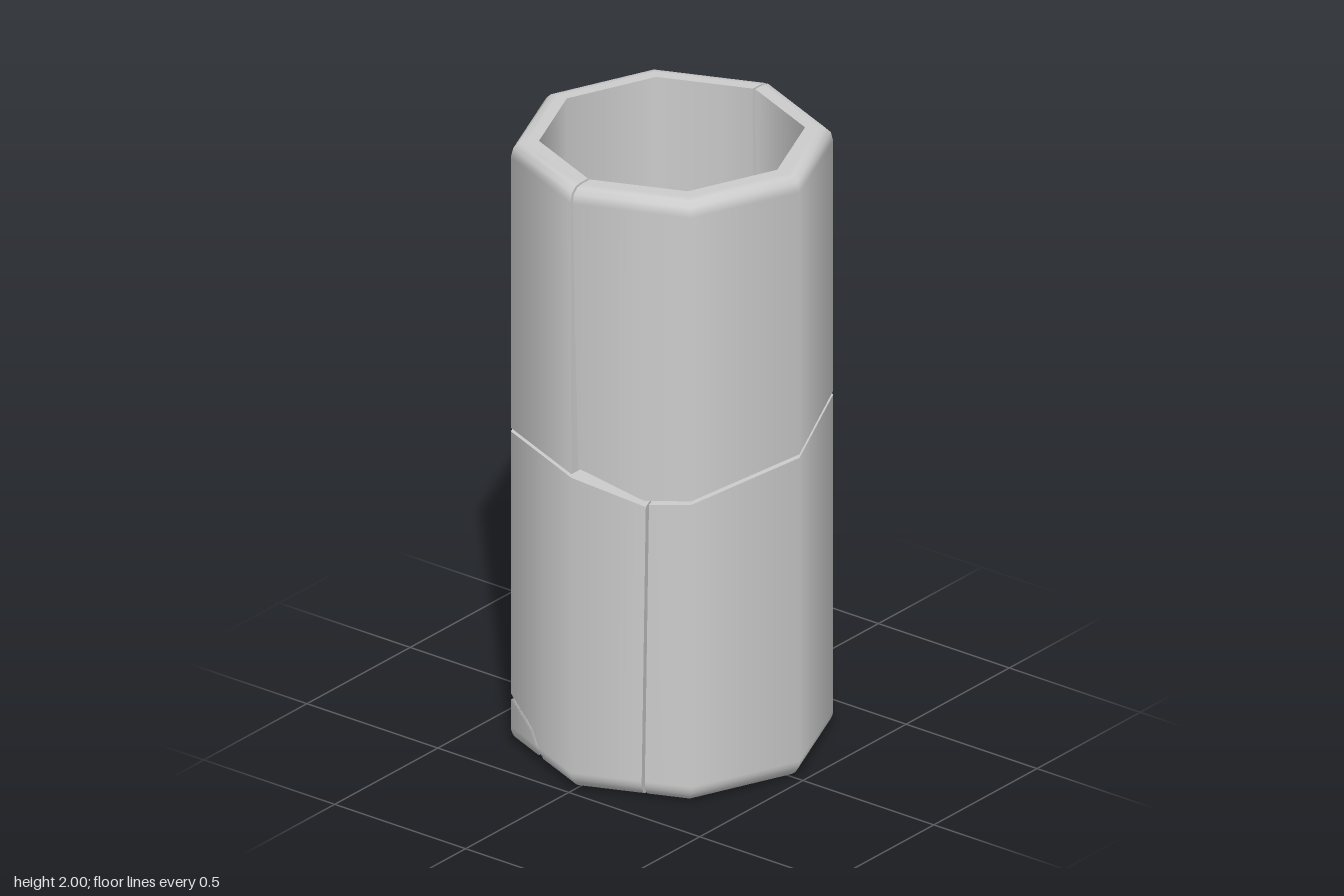
import * as THREE from 'three';
import { mergeGeometries } from 'three/addons/utils/BufferGeometryUtils.js';

const PI = Math.PI, R = 0.487, APOTHEM = R * Math.cos(PI / 8), INNER = 0.825, FLOOR = 0.09;
const mat = new THREE.MeshStandardMaterial({ color: 0xcccccc, side: THREE.DoubleSide });

// Height of the jagged break around the cup: [angle from +z towards +x, y]
const BREAK = [[0, 1.075], [0.48, 0.993], [PI / 4, 1.01], [PI / 2, 1.08], [PI * 0.75, 1.12], [PI, 1.12],
  [3.397, 1.075], [PI * 1.25, 1.045], [PI * 1.5, 1.04], [PI * 1.75, 1.052], [PI * 2, 1.052], [PI * 2 + 0.48, 0.985]];
function breakY(t) {
  let i = 1;
  while (i < BREAK.length - 1 && t > BREAK[i][0]) i++;
  const [a, ya] = BREAK[i - 1], [b, yb] = BREAK[i];
  return ya + (yb - ya) * (t - a) / (b - a);
}

// Outline of the small loose chip at the foot, in x and y
const CHIP = [[-0.345, 0.16], [-0.385, 0.115], [-0.395, 0.05], [-0.365, 0.015], [-0.2, 0.012], [-0.182, 0.035], [-0.225, 0.1]];
function chipDistance(x, y) {
  let best = 1;
  CHIP.forEach(([ax, ay], i) => {
    const [bx, by] = CHIP[(i + 1) % CHIP.length], dx = bx - ax, dy = by - ay;
    const k = Math.min(1, Math.max(0, ((x - ax) * dx + (y - ay) * dy) / (dx * dx + dy * dy)));
    best = Math.min(best, Math.hypot(x - ax - k * dx, y - ay - k * dy));
  });
  return best;
}

// Point on the octagon of the given scale, at angle t
function octagon(t, s) {
  const r = s * APOTHEM / Math.cos((((t % (PI / 4)) + PI / 4) % (PI / 4)) - PI / 8);
  return [r * Math.sin(t), r * Math.cos(t)];
}

// Where the cutting line from point c along d meets the facet facing angle f
function cutPoint(end, piece, s, y) {
  const c = piece.centre(y), [dx, dz] = end.dir;
  if (s === 0) return c;
  const nx = Math.sin(end.facet), nz = Math.cos(end.facet);
  const k = (s * APOTHEM - nx * c[0] - nz * c[1]) / (nx * dx + nz * dz);
  return [c[0] + dx * k, c[1] + dz * k];
}

// Geometry whose triangles are turned to agree with the given normals
function oriented(pos, nor, tris) {
  const P = i => new THREE.Vector3().fromArray(pos, i * 3);
  const index = [];
  for (const [a, b, c] of tris) {
    const n = P(b).sub(P(a)).cross(P(c).sub(P(a)));
    if (n.lengthSq() < 1e-18) continue;
    const m = new THREE.Vector3();
    for (const v of [a, b, c]) m.add(new THREE.Vector3().fromArray(nor, v * 3));
    if (n.dot(m) < 0) index.push(a, c, b); else index.push(a, b, c);
  }
  const g = new THREE.BufferGeometry();
  g.setAttribute('position', new THREE.Float32BufferAttribute(pos, 3));
  g.setAttribute('normal', new THREE.Float32BufferAttribute(nor, 3));
  g.setIndex(index);
  return g;
}

// Profile row: { s: octagon scale, y: height or null on the break, nr, ny: normal }
const row = (s, y, nr, ny) => ({ s, y, nr, ny });

function place(piece, col, cols, p) {
  const t = cols[col], y = p.y === null ? breakY(t) - piece.gap : p.y;
  const end = col === 0 ? piece.ends[0] : col === cols.length - 1 ? piece.ends[1] : null;
  const [x, z] = p.s === 0 ? piece.centre(y) : end ? cutPoint(end, piece, p.s, y) : octagon(t, p.s);
  return [x, y, z];
}

// Surface swept round the piece from a run of profile rows
function sweep(piece, cols, rows, chip) {
  const pos = [], nor = [], tris = [], grooved = [], w = cols.length;
  rows.forEach((p, j) => cols.forEach((t, i) => {
    let [x, y, z] = place(piece, i, cols, p);
    const h = Math.hypot(x, z) || 1, n = new THREE.Vector3(p.nr * x / h, p.ny, p.nr * z / h).normalize();
    if (chip && z > 0 && chipDistance(x, y) < 0.0065) {
      x -= n.x * 0.02; y -= n.y * 0.02; z -= n.z * 0.02;
      grooved.push(pos.length / 3);
    }
    pos.push(x, y, z);
    nor.push(n.x, n.y, n.z);
    if (i && j) {
      const d = j * w + i;
      tris.push([d - w - 1, d - w, d], [d - w - 1, d, d - 1]);
    }
  }));
  const g = oriented(pos, nor, tris);
  if (grooved.length) {
    const bent = g.clone();
    bent.computeVertexNormals();
    const a = bent.attributes.normal;
    for (const v of grooved) g.attributes.normal.setXYZ(v, a.getX(v), a.getY(v), a.getZ(v));
  }
  return g;
}

// Flat broken face closing one end of a piece
function cap(piece, cols, col, rows) {
  const end = piece.ends[col ? 1 : 0], pts = rows.map(p => place(piece, col, cols, p));
  const flat = pts.map(([x, y, z]) => new THREE.Vector2(x * end.dir[0] + z * end.dir[1], y));
  const side = piece.side;
  const n = [-side * Math.abs(end.dir[1]), 0, side * Math.abs(end.dir[0])];
  return oriented(pts.flat(), pts.flatMap(() => n), THREE.ShapeUtils.triangulateShape(flat, []));
}

function buildPiece(piece) {
  const [t0, t1] = piece.span;
  const cols = [t0, ...BREAK.map(b => b[0]).filter(t => t > t0 + 0.01 && t < t1 - 0.01), t1];
  if (piece.chip) for (let t = 2 * PI - 1.12; t < 2 * PI - 0.36; t += 0.01) cols.push(t);
  cols.sort((a, b) => a - b);

  let outer, inner;
  if (piece.upper) {
    // wall with a rounded rim
    outer = [row(1, null, 1, 0), row(1, 1.95, 1, 0), row(0.985, 1.98, 0.8, 0.6), row(0.95, 1.996, 0.35, 0.94),
      row(0.9, 2, 0, 1), row(INNER, 2, 0, 1)];
    inner = [row(INNER, 2, -1, 0), row(INNER, null, -1, 0)];
  } else {
    // wall with a rounded foot, closed by the base; floor inside
    outer = [row(1, null, 1, 0)];
    for (let y = 0.18; y > 0.062; y -= 0.006) outer.push(row(1, y, 1, 0));
    for (let i = 0; i <= 10; i++) {
      const a = i / 10 * PI / 2;
      outer.push(row(0.87 + 0.13 * Math.cos(a), 0.06 - 0.06 * Math.sin(a), Math.cos(a), -Math.sin(a)));
    }
    outer.push(row(0, 0, 0, -1));
    inner = [row(0, FLOOR, 0, 1), row(INNER, FLOOR, -0.6, 0.8), row(INNER, null, -1, 0)];
  }
  const up = piece.upper ? -1 : 1;
  const lip = [row(1, null, 0, up), row(INNER, null, 0, up)];
  const section = piece.upper ? [...outer, inner[1]] : [...outer, ...inner];
  const parts = [sweep(piece, cols, outer, piece.chip), sweep(piece, cols, inner), sweep(piece, cols, lip),
    cap(piece, cols, 0, section), cap(piece, cols, cols.length - 1, section)];
  const mesh = new THREE.Mesh(mergeGeometries(parts), mat);
  mesh.name = piece.name;
  return mesh;
}

export function createModel() {
  const group = new THREE.Group();
  group.name = 'brokenCup';
  const front = [0, 1], back = [0, -1], slant = [0.371, 0.929], slantBack = [-0.371, -0.929];
  // the lower crack leans slightly and runs beside the middle
  const lower = side => y => [0.05 + 0.015 * (y - 0.3) + side * 0.0045, -side * 0.002];
  const pieces = [
    { name: 'upperLeftShard', upper: true, side: 1, gap: 0, span: [0, PI], centre: y => [0.002 + 0.018 * (2 - y), 0],
      ends: [{ dir: front, facet: PI / 8 }, { dir: back, facet: PI * 7 / 8 }] },
    { name: 'upperRightShard', upper: true, side: -1, gap: 0, span: [PI, 2 * PI], centre: y => [-0.006 + 0.006 * (2 - y), 0],
      ends: [{ dir: back, facet: PI * 9 / 8 }, { dir: front, facet: -PI / 8 }] },
    { name: 'lowerLeftShard', side: 1, gap: 0.012, span: [0.48, 3.397], centre: lower(1),
      ends: [{ dir: slant, facet: PI / 8 }, { dir: slantBack, facet: PI * 9 / 8 }] },
    { name: 'lowerRightShard', side: -1, gap: 0.012, span: [3.397, 2 * PI + 0.48], centre: lower(-1), chip: true,
      ends: [{ dir: slantBack, facet: PI * 9 / 8 }, { dir: slant, facet: PI / 8 }] },
  ];
  for (const piece of pieces) group.add(buildPiece(piece));
  return group;
}
